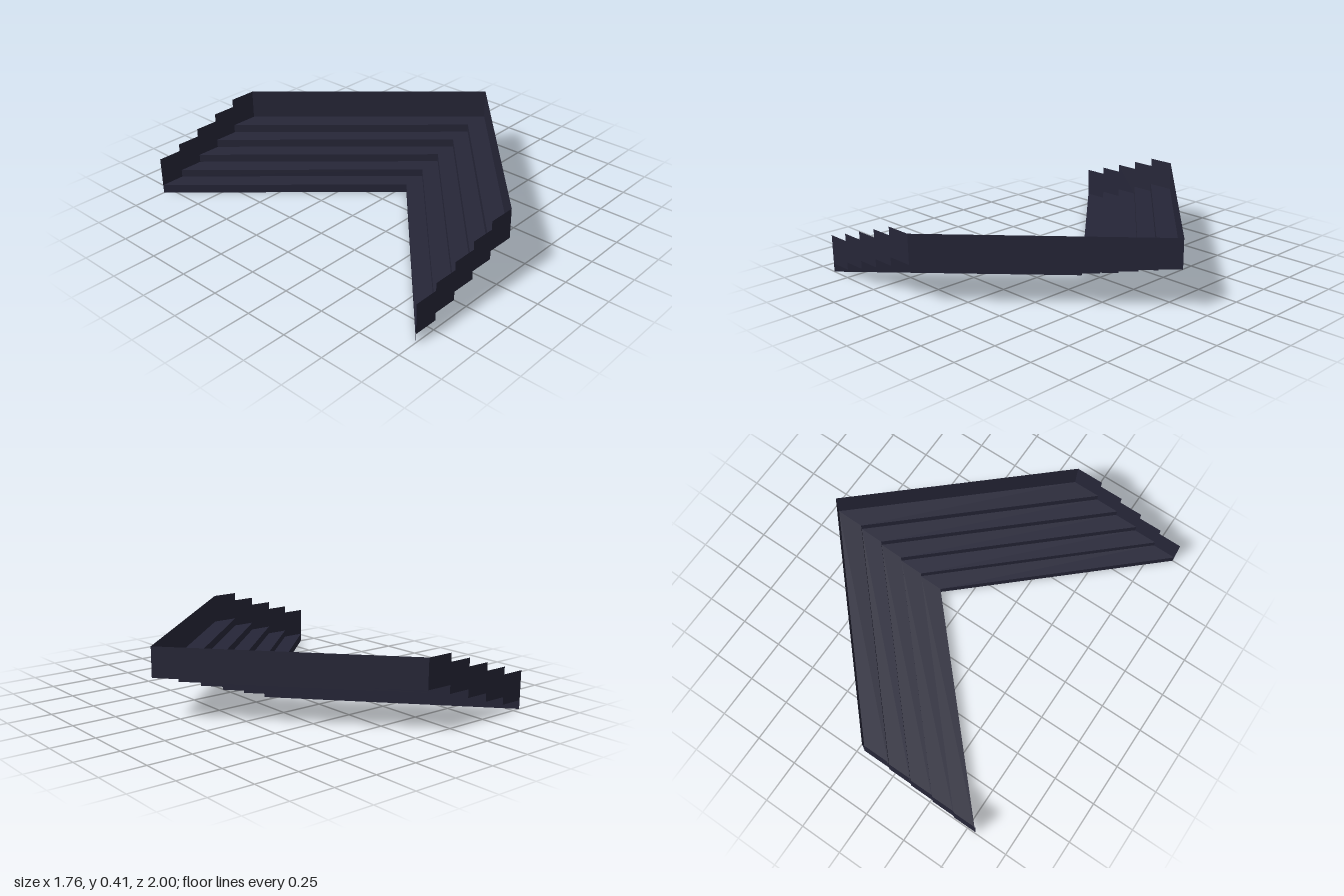
import * as THREE from 'three';

// Step edges across the band, tread heights and the height of the rim above the treads
const across = [0, 0.14, 0.28, 0.42, 0.56, 0.72];
const treadY = [0.05, 0.093, 0.14, 0.187, 0.235];
const rim = 0.17;

// Stations along the chevron: back end, corner, front end
const stations = [
  (d) => [-0.80 + d, -1],
  (d) => [0.155 + d * 1.007, 0.05 + d * 0.014],
  (d) => [-0.88 + d, 1],
];

// Flat-shaded surface from a list of quads
function quadMesh(name, quads, material) {
  const pos = [];
  for (const [a, b, c, d] of quads) pos.push(...a, ...b, ...c, ...a, ...c, ...d);
  const g = new THREE.BufferGeometry();
  g.setAttribute('position', new THREE.Float32BufferAttribute(pos, 3));
  g.computeVertexNormals();
  const mesh = new THREE.Mesh(g, material);
  mesh.name = name;
  return mesh;
}

function point(station, d, y) {
  const [x, z] = stations[station](d);
  return [x, y, z];
}

// Sweep one edge of the section along both arms
function sweep(d0, y0, d1, y1) {
  return [0, 1].map((s) => [
    point(s, d0, y0), point(s + 1, d0, y0), point(s + 1, d1, y1), point(s, d1, y1),
  ]);
}

export function createModel() {
  const group = new THREE.Group();
  group.name = 'steppedChevron';
  const navy = new THREE.MeshStandardMaterial({ color: 0x262638, side: THREE.DoubleSide });
  navy.name = 'darkNavy';

  // Treads and the risers below their inner edges
  treadY.forEach((y, i) => {
    const below = i ? treadY[i - 1] : 0;
    group.add(quadMesh(i ? 'riser' : 'innerLip', sweep(across[i], below, across[i], y), navy));
    group.add(quadMesh('tread', sweep(across[i], y, across[i + 1], y), navy));
  });

  // Tall wall along the outer edge
  const top = treadY[4];
  group.add(quadMesh('outerWall', sweep(across[5], top, across[5], top + rim), navy));

  // Stepped plates closing the two ends
  for (const [name, s] of [['backEndPlate', 0], ['frontEndPlate', 2]]) {
    const quads = treadY.map((y, i) => {
      const q = [
        point(s, across[i], y), point(s, across[i + 1], y),
        point(s, across[i + 1], y + rim), point(s, across[i], y + rim),
      ];
      return s ? q : q.reverse();
    });
    group.add(quadMesh(name, quads, navy));
  }
  return group;
}
